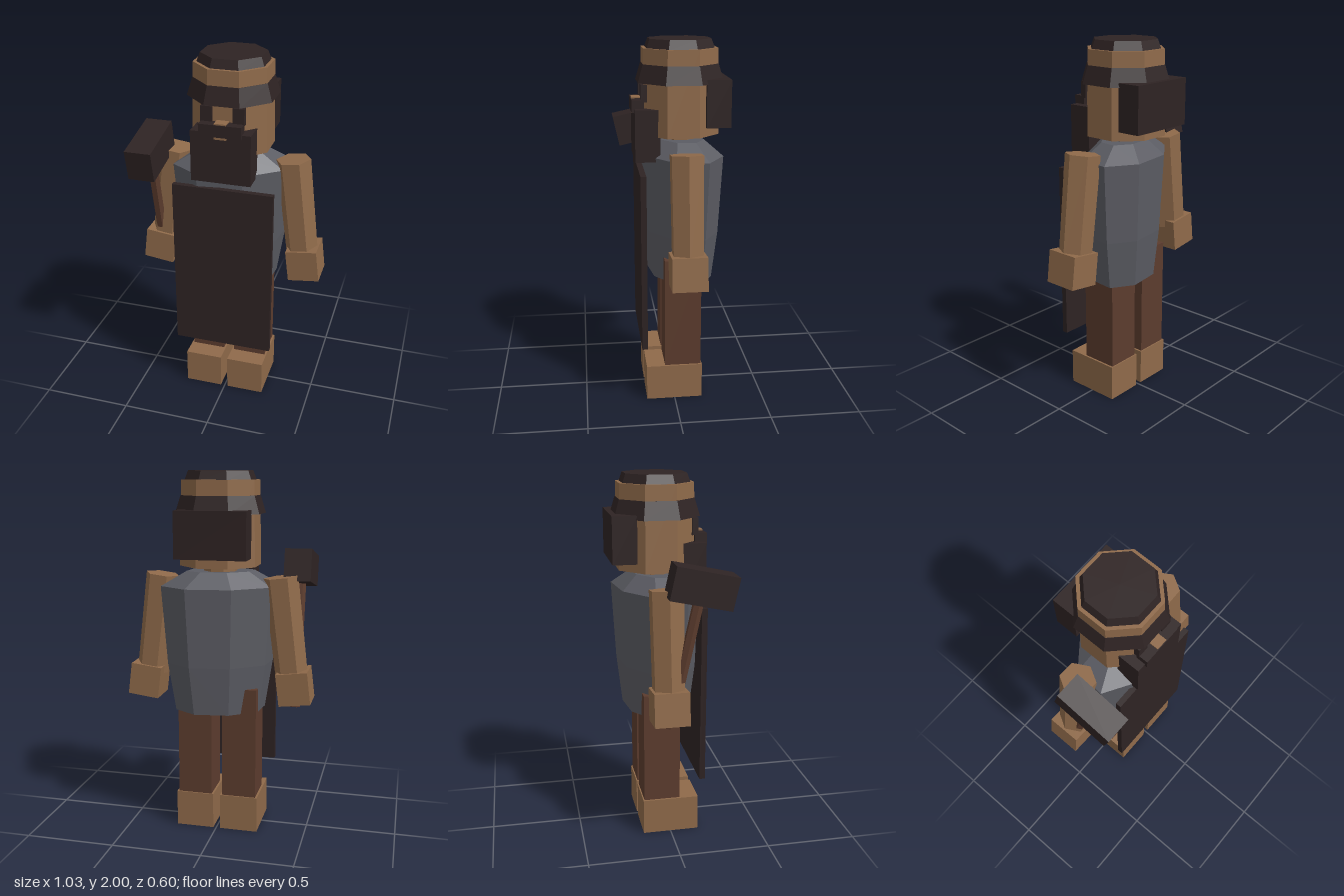
import * as THREE from 'three';

const material = (name, color) => {
  const m = new THREE.MeshStandardMaterial({ color, flatShading: true });
  m.name = name;
  return m;
};

export function createModel() {
  const skin = material('tan', 0x8f6a4a);
  const brown = material('brown', 0x5c3c2e);
  const grey = material('grey', 0x5b5c63);
  const dark = material('dark', 0x2e2323);

  const model = new THREE.Group();
  model.name = 'smith';
  const CX = -0.003, CZ = -0.047; // body axis

  const add = (name, geometry, mat, x, y, z) => {
    const mesh = new THREE.Mesh(geometry, mat);
    mesh.name = name;
    mesh.position.set(x, y, z);
    model.add(mesh);
    return mesh;
  };
  // box given by its limits
  const box = (name, mat, [x0, x1], [y0, y1], [z0, z1]) =>
    add(name, new THREE.BoxGeometry(x1 - x0, y1 - y0, z1 - z0), mat,
      (x0 + x1) / 2, (y0 + y1) / 2, (z0 + z1) / 2);
  // octagonal section with flats facing the axes, sized by half-width
  const octagon = (name, mat, halfTop, halfBottom, y0, y1) => {
    const k = 1 / Math.cos(Math.PI / 8);
    const g = new THREE.CylinderGeometry(halfTop * k, halfBottom * k, y1 - y0, 8);
    return add(name, g.rotateY(Math.PI / 8), mat, CX, (y0 + y1) / 2, CZ);
  };

  // torso: eight-sided profile skewed into a slanted oval
  const profile = [[0, 0.69], [0.77, 0.69], [0.9, 0.96], [1, 1.39], [0.57, 1.47], [0, 1.47]]
    .map(([r, y]) => new THREE.Vector2(r, y));
  const torso = new THREE.LatheGeometry(profile, 8);
  torso.applyMatrix4(new THREE.Matrix4().makeBasis(
    new THREE.Vector3(0.305, 0, -0.125),
    new THREE.Vector3(0, 1, 0),
    new THREE.Vector3(0.1, 0, 0.19)));
  add('torso', torso, grey, CX, 0, CZ);
  box('apron', dark, [-0.28, 0.275], [0.335, 1.32], [0.155, 0.186]);

  // paired limbs
  for (const [side, s] of [['left', 1], ['right', -1]]) {
    const cx = CX + s * 0.126;
    box(side + 'Boot', skin, [cx - 0.106, cx + 0.106], [0, 0.203], [-0.155, 0.158]);
    box(side + 'Leg', brown, [cx - 0.095, cx + 0.095], [0.2, 0.83], [-0.148, 0.054]);

    const arm = new THREE.CylinderGeometry(0.095, 0.09, 0.56, 6).rotateY(Math.PI / 2);
    arm.rotateY(0);
    // hexagon corners point sideways
    add(side + 'Arm', arm, skin, CX + s * 0.366, 1.165, CZ).rotation.z = s * 0.125;
    add(side + 'Hand', new THREE.BoxGeometry(0.174, 0.178, 0.186), skin,
      CX + s * 0.42, 0.844, CZ).rotation.z = s * 0.125;
  }

  // head and face
  octagon('neck', skin, 0.085, 0.085, 1.4, 1.52);
  octagon('head', skin, 0.197, 0.206, 1.5, 1.953);
  box('beard', dark, [-0.165, 0.158], [1.368, 1.645], [0.07, 0.203]);
  box('moustache', dark, [-0.116, 0.111], [1.625, 1.69], [0.15, 0.216]);
  box('nose', skin, [-0.034, 0.03], [1.612, 1.697], [0.12, 0.212]);
  for (const s of [1, -1]) {
    const x = CX + s * 0.085;
    box(s > 0 ? 'leftEye' : 'rightEye', dark, [x - 0.031, x + 0.031], [1.68, 1.77], [0.135, 0.168]);
  }
  box('backHair', dark, [-0.195, 0.19], [1.55, 1.8], [-0.3, -0.17]);

  // cap: flared brim and crown around the bare band
  octagon('capBrim', dark, 0.2, 0.228, 1.777, 1.872);
  octagon('capCrown', dark, 0.162, 0.18, 1.95, 2);

  // hammer leaning forward in the right hand
  const hammer = new THREE.Group();
  hammer.name = 'hammer';
  hammer.position.set(-0.4225, 1.475, 0.118);
  hammer.rotation.x = 0.215;
  const hammerHead = new THREE.Mesh(new THREE.BoxGeometry(0.146, 0.174, 0.33), dark);
  hammerHead.name = 'hammerHead';
  const handle = new THREE.Mesh(new THREE.CylinderGeometry(0.029, 0.029, 0.77, 6).rotateY(Math.PI / 2), brown);
  handle.name = 'hammerHandle';
  handle.position.y = -0.385;
  hammer.add(hammerHead, handle);
  model.add(hammer);

  return model;
}
